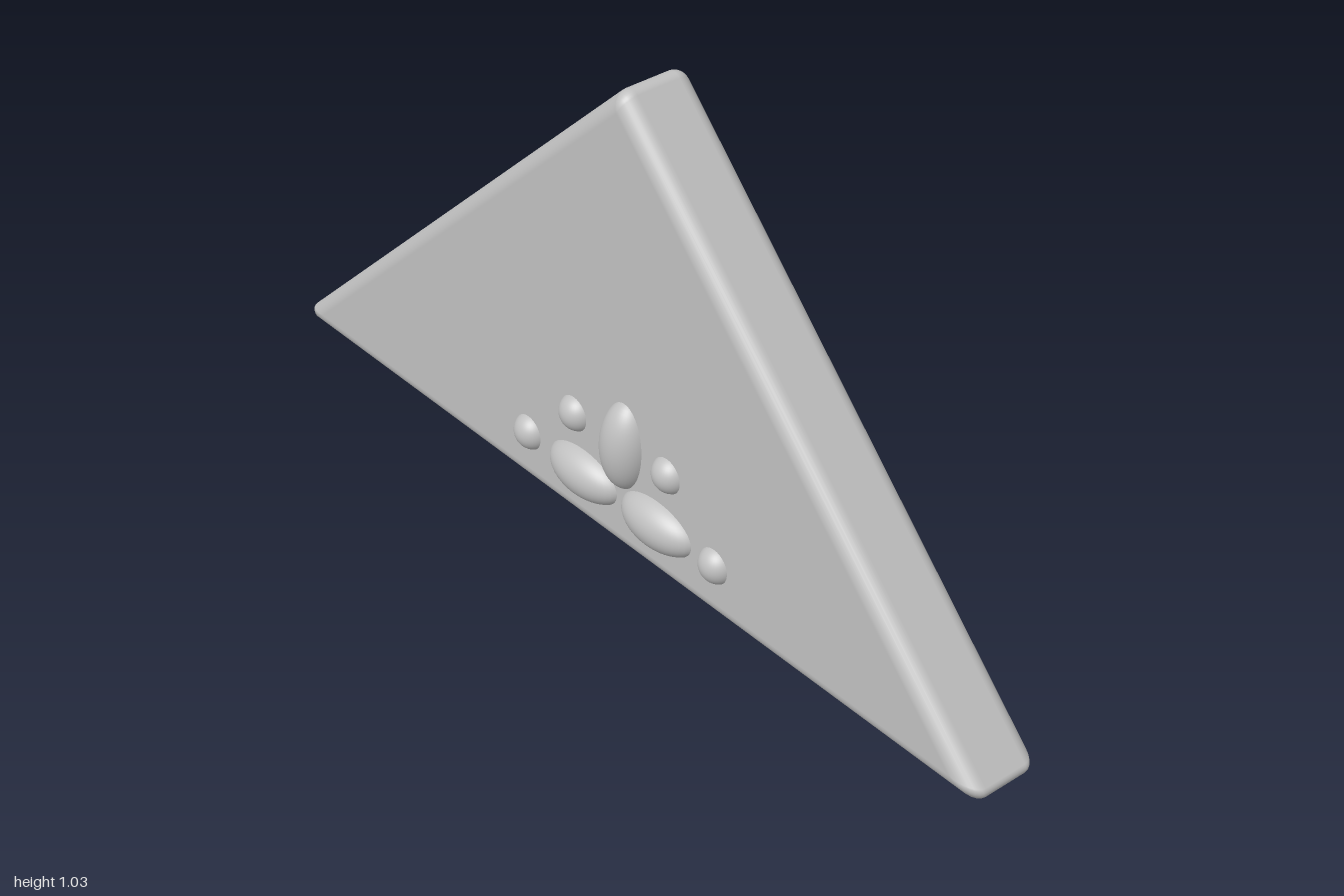
import * as THREE from 'three';

// Sharp plate corners, counter-clockwise, each with its tip radius
const CORNERS = [
  { p: new THREE.Vector2(-1.023, 0.073), r: 0.015 },
  { p: new THREE.Vector2(1.02, 0.007), r: 0.015 },
  { p: new THREE.Vector2(0.036, 1.05), r: 0.024 },
];
const FRONT = 0.065, BACK = -0.105, BEVEL = 0.035;
const ARC = 8, STEPS = 8;

// Outline of the triangle inset by d, its tip radii scaled by s
function outline(d, s) {
  const points = [];
  CORNERS.forEach(({ p, r }, i) => {
    const e0 = p.clone().sub(CORNERS[(i + 2) % 3].p).normalize();
    const e1 = CORNERS[(i + 1) % 3].p.clone().sub(p).normalize();
    const n0 = new THREE.Vector2(e0.y, -e0.x), n1 = new THREE.Vector2(e1.y, -e1.x);
    const miter = n0.clone().add(n1).divideScalar(1 + n0.dot(n1));
    const centre = p.clone().addScaledVector(miter, -(d + r * s));
    const a0 = n0.angle();
    const turn = (n1.angle() - a0 + Math.PI * 2) % (Math.PI * 2);
    for (let k = 0; k <= ARC; k++) {
      const a = a0 + turn * k / ARC;
      const nx = Math.cos(a), ny = Math.sin(a);
      points.push({ x: centre.x + nx * r * s, y: centre.y + ny * r * s, nx, ny });
    }
  });
  return points;
}

// Plate lofted from back face to front face with rounded rims
function plateGeometry() {
  const position = [], normal = [], index = [];
  const levels = [];
  for (let k = 0; k <= STEPS; k++) levels.push([-Math.PI / 2 * (1 - k / STEPS), BACK + BEVEL]);
  for (let k = 0; k <= STEPS; k++) levels.push([Math.PI / 2 * k / STEPS, FRONT - BEVEL]);
  const n = CORNERS.length * (ARC + 1);
  levels.forEach(([a, z]) => {
    const c = Math.cos(a), s = Math.sin(a);
    outline(BEVEL * (1 - c), Math.max(c, 0.001)).forEach((q) => {
      position.push(q.x, q.y, z + BEVEL * s);
      normal.push(q.nx * c, q.ny * c, s);
    });
  });
  for (let l = 0; l < levels.length - 1; l++) {
    for (let i = 0; i < n; i++) {
      const a = l * n + i, b = l * n + (i + 1) % n;
      index.push(a, b, b + n, a, b + n, a + n);
    }
  }
  // Flat faces
  const top = (levels.length - 1) * n;
  for (let i = 1; i < n - 1; i++) {
    index.push(0, i + 1, i);
    index.push(top, top + i, top + i + 1);
  }
  const g = new THREE.BufferGeometry();
  g.setAttribute('position', new THREE.Float32BufferAttribute(position, 3));
  g.setAttribute('normal', new THREE.Float32BufferAttribute(normal, 3));
  g.setIndex(index);
  return g;
}

export function createModel() {
  const model = new THREE.Group();
  const grey = new THREE.MeshStandardMaterial({ color: 0xc0c0c0 });
  grey.name = 'grey';

  const plate = new THREE.Mesh(plateGeometry(), grey);
  plate.name = 'trianglePlate';
  model.add(plate);

  // Raised flower: three petals and four beads sunk into the front face
  const ball = new THREE.SphereGeometry(1, 40, 28);
  const addBall = (name, x, y, rx, ry, rz, tilt = 0) => {
    const mesh = new THREE.Mesh(ball, grey);
    mesh.name = name;
    mesh.position.set(x, y, 0.05);
    mesh.scale.set(rx, ry, rz);
    mesh.rotation.z = tilt;
    model.add(mesh);
  };
  addBall('topPetal', 0.05, 0.286, 0.057, 0.103, 0.057, -0.07);
  addBall('rightPetal', -0.066, 0.162, 0.103, 0.056, 0.056, -0.04);
  addBall('leftPetal', 0.15, 0.157, 0.103, 0.056, 0.056, -0.03);
  [[-0.096, 0.286], [0.177, 0.285], [-0.238, 0.168], [0.312, 0.15]].forEach(([x, y], i) =>
    addBall('bead' + (i + 1), x, y, 0.041, 0.041, 0.041));

  return model;
}
